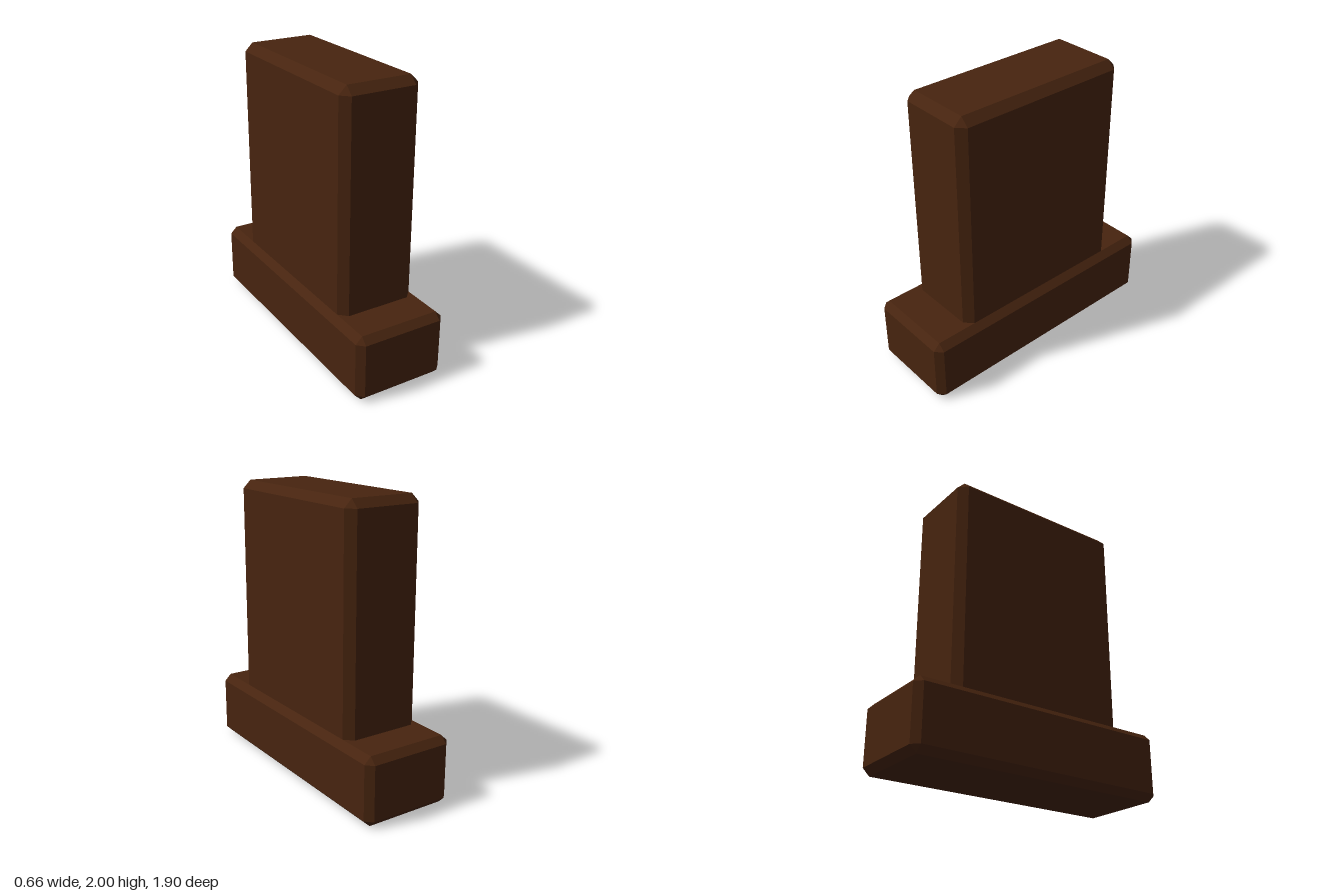
import * as THREE from 'three';
import { ConvexGeometry } from 'three/addons/geometries/ConvexGeometry.js';

// Box with flat 45-degree bevels on every edge and triangular corners
function bevelledBox(width, height, depth, bevel) {
  const half = [width / 2, height / 2, depth / 2];
  const points = [];
  for (const sx of [-1, 1]) for (const sy of [-1, 1]) for (const sz of [-1, 1]) {
    const signs = [sx, sy, sz];
    for (let face = 0; face < 3; face++) {
      const p = half.map((h, i) => signs[i] * (i === face ? h : h - bevel));
      points.push(new THREE.Vector3(...p));
    }
  }
  return new ConvexGeometry(points);
}

export function createModel() {
  const model = new THREE.Group();
  const darkBrown = new THREE.MeshStandardMaterial({ color: 0x47240f });
  darkBrown.name = 'darkBrown';

  const addBlock = (name, width, bottom, top, depth, bevel) => {
    const mesh = new THREE.Mesh(bevelledBox(width, top - bottom, depth, bevel), darkBrown);
    mesh.name = name;
    mesh.position.y = (bottom + top) / 2;
    model.add(mesh);
  };

  // Long low foot
  addBlock('base', 0.664, 0, 0.476, 1.904, 0.047);
  // Tall slab, sunk into the foot so its lower bevel is hidden
  addBlock('upright', 0.57, 0.36, 2, 1.33, 0.056);

  return model;
}
